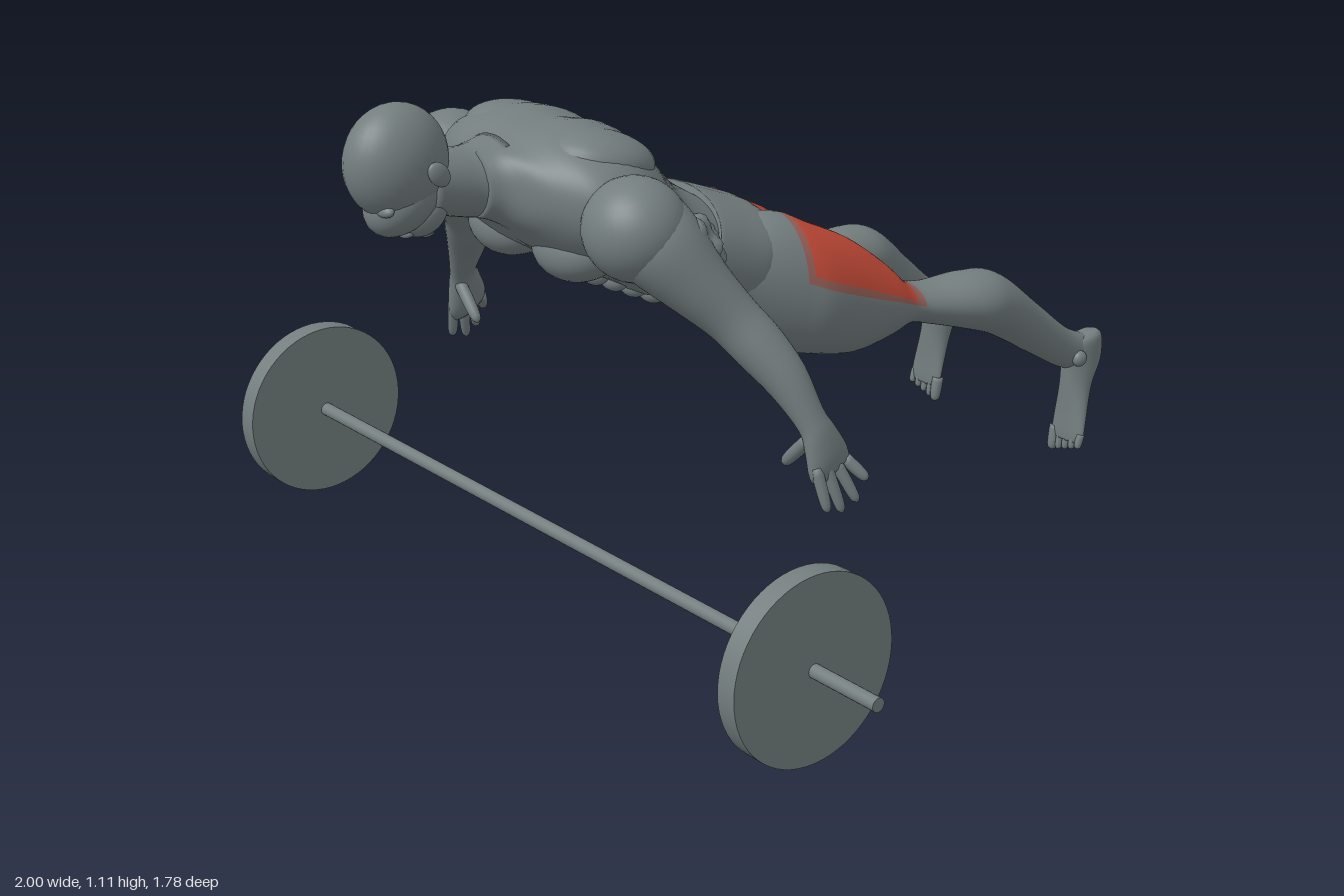
import * as THREE from 'three';

const grey = new THREE.MeshStandardMaterial({ color: 0x747e7f });
grey.name = 'slate grey';
const red = new THREE.MeshStandardMaterial({ color: 0xc24a37 });
red.name = 'muscle red';
const fade = new THREE.MeshStandardMaterial({ color: 0x955f57 });
fade.name = 'faded red';

const V3 = (x, y, z) => new THREE.Vector3(x, y, z);

// Smooth closed loft through elliptical rings [x, y, z, halfWidth, halfHeight].
// `up` leans the rings, `shape` scales the radius by angle, `paint` picks a material per face.
function loft(name, rings, dir, { up, shape, paint, power = 1, sides = 32, steps = 4 } = {}) {
  const d = V3(...dir).normalize();
  const u = V3(1, 0, 0).addScaledVector(d, -d.x).normalize();
  const v = up ? V3(...up) : u.clone().cross(d);
  const path = new THREE.CatmullRomCurve3(rings.map(r => V3(r[0], r[1], r[2])), false, 'catmullrom');
  const size = new THREE.CatmullRomCurve3(rings.map(r => V3(r[3], r[4], 0)), false, 'catmullrom');
  const n = (rings.length - 1) * steps;
  const pos = [], faces = [[], [], []];
  const bend = c => Math.sign(c) * Math.abs(c) ** power;
  for (let i = 0; i <= n; i++) {
    const c = path.getPoint(i / n), s = size.getPoint(i / n);
    for (let j = 0; j < sides; j++) {
      const a = j / sides * Math.PI * 2, k = shape ? shape(a, i / n) : 1;
      const p = c.clone().addScaledVector(u, s.x * k * bend(Math.cos(a))).addScaledVector(v, s.y * k * bend(Math.sin(a)));
      pos.push(p.x, p.y, p.z);
    }
  }
  for (let i = 0; i < n; i++) for (let j = 0; j < sides; j++) {
    const a = i * sides + j, b = i * sides + (j + 1) % sides, c = a + sides, e = b + sides;
    const m = paint ? paint((pos[a * 3 + 2] + pos[c * 3 + 2]) / 2, Math.sin((j + 0.5) / sides * Math.PI * 2)) : 0;
    faces[m].push(a, c, b, b, c, e);
  }
  // End caps
  const first = path.getPoint(0), last = path.getPoint(1), f = pos.length / 3;
  pos.push(first.x, first.y, first.z, last.x, last.y, last.z);
  for (let j = 0; j < sides; j++) {
    const k = (j + 1) % sides;
    faces[0].push(f, j, k, f + 1, n * sides + k, n * sides + j);
  }
  const g = new THREE.BufferGeometry();
  g.setAttribute('position', new THREE.Float32BufferAttribute(pos, 3));
  g.setIndex(faces.flat());
  let start = 0;
  faces.forEach((list, m) => { if (list.length) g.addGroup(start, list.length, m); start += list.length; });
  g.computeVertexNormals();
  const mesh = new THREE.Mesh(g, paint ? [grey, red, fade] : grey);
  mesh.name = name;
  return mesh;
}

// Ellipsoid, optionally tilted about x
function blob(name, x, y, z, rx, ry, rz, tilt = 0) {
  const m = new THREE.Mesh(new THREE.SphereGeometry(1, 32, 20), grey);
  m.position.set(x, y, z);
  m.scale.set(rx, ry, rz);
  m.rotation.x = tilt;
  m.name = name;
  return m;
}

// Tapered rounded finger between two points
function digit(name, a, b, r) {
  const at = t => a.map((q, i) => q + (b[i] - q) * t);
  const dir = b.map((q, i) => q - a[i]);
  return loft(name, [[...at(0), r, r], [...at(0.5), r, r], [...at(0.88), r * 0.8, r * 0.8], [...at(1), r * 0.25, r * 0.25]],
    dir, { sides: 10, steps: 3 });
}

function cylinderX(name, x, y, z, r, len, sides) {
  const m = new THREE.Mesh(new THREE.CylinderGeometry(r, r, len, sides), grey);
  m.rotation.z = Math.PI / 2;
  m.position.set(x, y, z);
  m.name = name;
  return m;
}

function barbell() {
  const g = new THREE.Group();
  g.name = 'barbell';
  g.add(cylinderX('bar', 0, 0.19, 0.49, 0.014, 2, 20));
  for (const s of [-1, 1]) g.add(cylinderX('weightPlate', s * 0.81, 0.19, 0.49, 0.187, 0.045, 64));
  return g;
}

function head() {
  const g = new THREE.Group();
  g.name = 'head';
  g.add(blob('cranium', 0, 1.0, 0.79, 0.08, 0.11, 0.105));
  g.add(blob('face', 0, 0.932, 0.778, 0.066, 0.062, 0.088, 0.7));
  g.add(blob('jaw', 0, 0.895, 0.74, 0.05, 0.045, 0.055, 0.6));
  g.add(blob('nose', 0, 0.885, 0.812, 0.013, 0.026, 0.014, 0.3));
  g.add(blob('mouth', 0, 0.863, 0.772, 0.024, 0.012, 0.018, 0.6));
  g.add(blob('chin', 0, 0.858, 0.735, 0.025, 0.016, 0.02));
  for (const s of [-1, 1]) {
    g.add(blob('ear', s * 0.082, 0.985, 0.75, 0.011, 0.028, 0.02, 0.7));
    g.add(blob('brow', s * 0.03, 0.922, 0.838, 0.027, 0.012, 0.014, 0.7));
  }
  g.add(loft('neck', [[0, 0.95, 0.74, 0.06, 0.06], [0, 0.938, 0.68, 0.064, 0.066],
    [0, 0.93, 0.63, 0.072, 0.07], [0, 0.93, 0.57, 0.1, 0.08]], [0, 0, -1]));
  return g;
}

function torso() {
  const g = new THREE.Group();
  g.name = 'torso';
  // Spine and breastbone grooves
  const groove = (a, t) => 1 - Math.sin(Math.PI * t) * (0.09 * Math.exp(-(((a - Math.PI / 2) / 0.14) ** 2))
    + 0.06 * Math.exp(-(((a - Math.PI * 1.5) / 0.12) ** 2)));
  g.add(loft('chestAndBack', [
    [0, 0.93, 0.635, 0.07, 0.068], [0, 0.925, 0.6, 0.1, 0.075], [0, 0.915, 0.565, 0.18, 0.088],
    [0, 0.9, 0.51, 0.26, 0.125], [0, 0.878, 0.427, 0.28, 0.155], [0, 0.84, 0.34, 0.245, 0.162],
    [0, 0.78, 0.26, 0.182, 0.15], [0, 0.74, 0.197, 0.152, 0.125], [0, 0.705, 0.115, 0.15, 0.105],
    [0, 0.68, 0.05, 0.14, 0.09]], [0, 0, -1], { shape: groove, sides: 64, power: 0.92 }));
  // Pelvis with a raised slanted waist edge
  g.add(loft('pelvis', [
    [0, 0.722, 0.152, 0.155, 0.1], [0, 0.72, 0.147, 0.161, 0.105], [0, 0.69, 0.08, 0.17, 0.108],
    [0, 0.668, 0.02, 0.172, 0.104], [0, 0.65, -0.03, 0.15, 0.085], [0, 0.63, -0.08, 0.07, 0.04]],
    [0, 0, -1], { up: [0, 1, -0.37], power: 0.92 }));
  for (const s of [-1, 1]) {
    g.add(blob('pectoral', s * 0.105, 0.8, 0.455, 0.105, 0.07, 0.085, 0.45));
    g.add(blob('shoulderBlade', s * 0.13, 0.965, 0.42, 0.1, 0.055, 0.11, -0.25));
    for (let i = 0; i < 4; i++)
      g.add(blob('abdominal', s * 0.036, 0.7 - i * 0.023, 0.365 - i * 0.047, 0.034, 0.025, 0.026, 0.5));
    for (let i = 0; i < 3; i++)
      g.add(blob('sideRib', s * (0.165 - i * 0.014), 0.75 - i * 0.025, 0.34 - i * 0.05, 0.045, 0.055, 0.025, 0.5));
  }
  return g;
}

function arm(s) {
  const g = new THREE.Group();
  g.name = s > 0 ? 'leftArm' : 'rightArm';
  g.add(loft('armAndPalm', [
    [0.29, 0.89, 0.46, 0.08, 0.09], [0.34, 0.84, 0.435, 0.08, 0.085], [0.39, 0.77, 0.39, 0.062, 0.065],
    [0.43, 0.71, 0.345, 0.051, 0.053], [0.47, 0.66, 0.315, 0.049, 0.051], [0.52, 0.6, 0.287, 0.04, 0.043],
    [0.565, 0.53, 0.268, 0.026, 0.032], [0.578, 0.495, 0.258, 0.026, 0.039], [0.588, 0.45, 0.246, 0.023, 0.05],
    [0.594, 0.425, 0.236, 0.013, 0.045]].map(([x, ...r]) => [s * x, ...r]), [s * 0.53, -0.74, -0.41]));
  g.add(blob('deltoid', s * 0.295, 0.875, 0.465, 0.105, 0.1, 0.1, 0.3));
  // Ragged sleeve hem
  const hem = new THREE.SphereGeometry(1, 40, 28), p = hem.attributes.position;
  for (let i = 0; i < p.count; i++) {
    const q = V3().fromBufferAttribute(p, i);
    q.multiplyScalar(1 + 0.09 * Math.sin(q.x * 7 + q.y * 5) * Math.sin(q.z * 8 + q.y * 3) + 0.05 * Math.sin(q.y * 15 + q.x * 4));
    p.setXYZ(i, s * q.x, q.y, q.z);
  }
  if (s < 0) hem.setIndex(Array.from(hem.index.array).reverse());
  hem.computeVertexNormals();
  const sleeve = new THREE.Mesh(hem, grey);
  sleeve.position.set(s * 0.345, 0.815, 0.395);
  sleeve.scale.set(0.068, 0.082, 0.085);
  sleeve.name = 'sleeve';
  g.add(sleeve);
  // Fingers and thumb
  const tips = [[0.615, 0.36, 0.268], [0.615, 0.35, 0.232], [0.622, 0.365, 0.2], [0.625, 0.405, 0.178]];
  tips.forEach((t, i) => g.add(digit('finger', [s * 0.592, 0.445, 0.278 - i * 0.024], [s * t[0], t[1], t[2]], 0.012)));
  g.add(digit('thumb', [s * 0.57, 0.495, 0.275], [s * 0.5, 0.425, 0.278], 0.014));
  return g;
}

function leg(s) {
  const g = new THREE.Group();
  g.name = s > 0 ? 'leftLeg' : 'rightLeg';
  const flip = rings => rings.map(([x, ...r]) => [s * x, ...r]);
  // Highlighted back of the thigh with a faded border
  const paint = (z, up) => {
    if (z > -0.04 || z < -0.355 || up < 0.08) return 0;
    return z > -0.055 || z < -0.335 || up < 0.25 ? 2 : 1;
  };
  g.add(loft('thighAndCalf', flip([
    [0.09, 0.66, 0.1, 0.05, 0.05], [0.09, 0.637, 0.03, 0.088, 0.122], [0.108, 0.612, -0.04, 0.102, 0.147],
    [0.122, 0.588, -0.1, 0.107, 0.142], [0.13, 0.553, -0.2, 0.1, 0.126], [0.138, 0.53, -0.28, 0.09, 0.088],
    [0.152, 0.513, -0.34, 0.07, 0.047], [0.173, 0.501, -0.4, 0.065, 0.046], [0.193, 0.488, -0.5, 0.08, 0.064],
    [0.196, 0.462, -0.58, 0.073, 0.072], [0.209, 0.383, -0.69, 0.046, 0.06], [0.217, 0.322, -0.777, 0.033, 0.048],
    [0.22, 0.305, -0.84, 0.028, 0.035]]), [0, 0, -1], { paint, sides: 48, steps: 8 }));
  g.add(loft('foot', flip([
    [0.22, 0.345, -0.855, 0.016, 0.02], [0.22, 0.33, -0.835, 0.03, 0.052], [0.22, 0.28, -0.832, 0.033, 0.053],
    [0.222, 0.23, -0.816, 0.035, 0.037], [0.225, 0.17, -0.802, 0.043, 0.022], [0.227, 0.125, -0.793, 0.046, 0.014],
    [0.227, 0.105, -0.79, 0.042, 0.01]]), [0, -1, 0]));
  for (const side of [-1, 1]) g.add(blob('ankleBone', s * 0.22 + side * 0.03, 0.3, -0.795, 0.014, 0.018, 0.018));
  for (let i = 0; i < 5; i++) {
    const x = 0.189 + i * 0.019, drop = i * 0.006;
    g.add(digit('toe', [s * x, 0.125, -0.793], [s * x, 0.07 + drop, -0.783], i ? 0.009 : 0.013));
  }
  return g;
}

export function createModel() {
  const model = new THREE.Group();
  model.name = 'athleteWithBarbell';
  model.add(barbell(), head(), torso());
  for (const s of [-1, 1]) model.add(arm(s), leg(s));
  return model;
}
